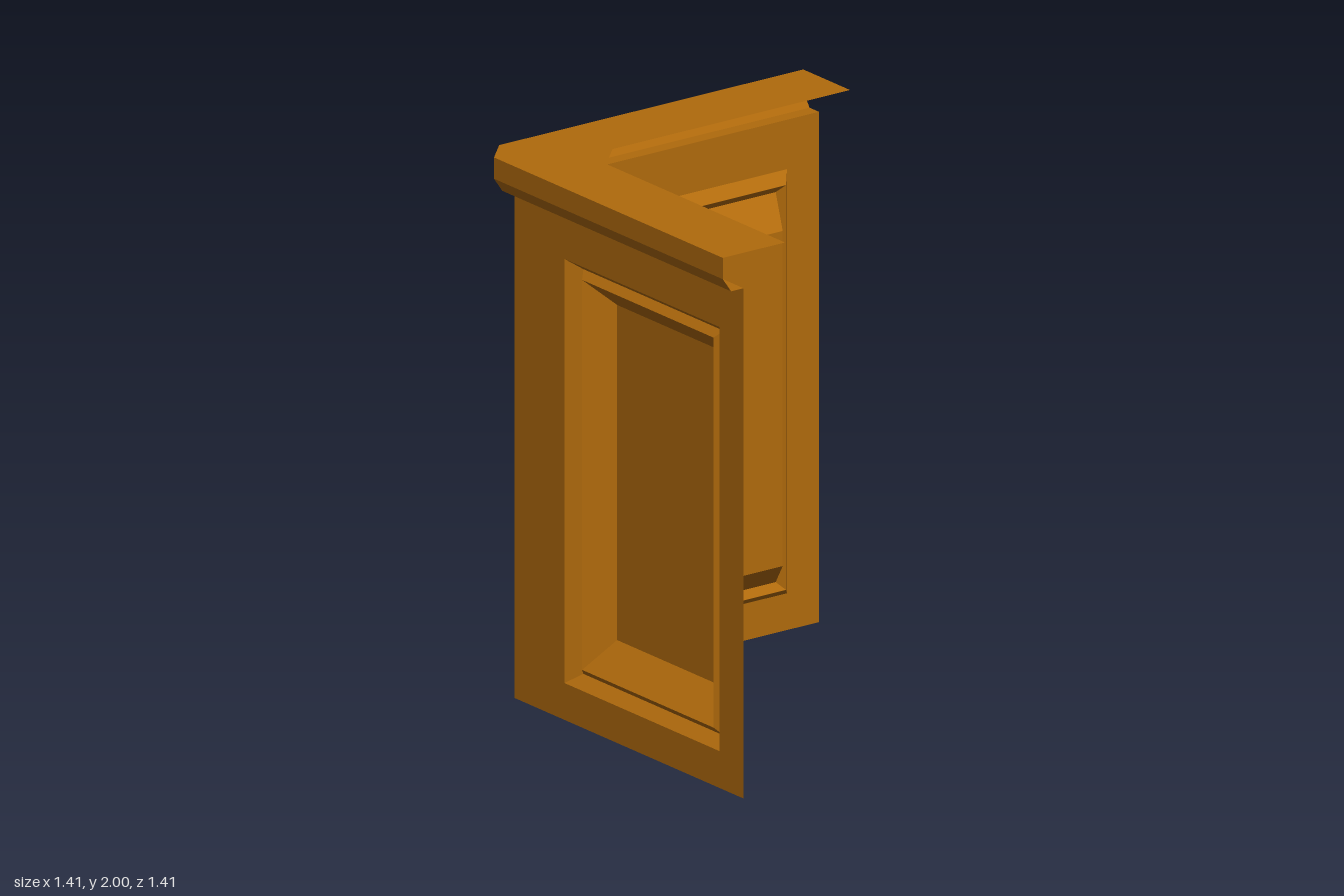
import * as THREE from 'three';

const wood = new THREE.MeshStandardMaterial({ color: 0xb06a0c, flatShading: true, side: THREE.DoubleSide });
const WALL = -0.616; // plane of both walls
const END = 0.702;   // free ends of both walls

// Skins a series of point loops (or open paths); optionally fills the last loop.
function skin(name, rings, closed, fill = false) {
  const pos = [];
  const tri = (...pts) => pts.forEach((p) => pos.push(...p));
  for (let r = 0; r + 1 < rings.length; r++) {
    const a = rings[r], b = rings[r + 1], n = a.length;
    for (let i = 0; i < (closed ? n : n - 1); i++) {
      const j = (i + 1) % n;
      tri(a[i], a[j], b[j]);
      tri(a[i], b[j], b[i]);
    }
  }
  if (fill) {
    const [p, q, r, s] = rings[rings.length - 1];
    tri(p, q, r);
    tri(p, r, s);
  }
  const geo = new THREE.BufferGeometry();
  geo.setAttribute('position', new THREE.Float32BufferAttribute(pos, 3));
  geo.computeVertexNormals();
  const mesh = new THREE.Mesh(geo, wood);
  mesh.name = name;
  return mesh;
}

// One thin wall with a pressed panel; the side wall is the back wall mirrored across the corner diagonal.
function wall(name, mirrored) {
  const rect = (u0, u1, y0, y1, depth) => {
    const pts = [[u0, y0], [u1, y0], [u1, y1], [u0, y1]]
      .map(([u, y]) => (mirrored ? [WALL + depth, y, u] : [u, y, WALL + depth]));
    return mirrored ? pts.reverse() : pts;
  };
  const edge = rect(WALL, END, 0, 1.87, 0);
  const outer = rect(-0.328, 0.564, 0.135, 1.689, 0);
  const crest = rect(-0.286, 0.522, 0.17, 1.653, 0.05);
  const groove = rect(-0.26, 0.496, 0.197, 1.626, 0.025);
  const field = rect(-0.206, 0.443, 0.298, 1.526, 0.136);

  const group = new THREE.Group();
  group.name = name;
  group.add(
    skin('wallFrame', [edge, outer], true),
    skin('panelMoulding', [outer, crest, groove], true),
    skin('raisedPanel', [groove, field], true, true),
  );
  return group;
}

// L-shaped path at height y: offset from the axes, with the corner cut starting at 'cut'.
const path = (offset, cut, y) => [
  [END, y, offset], [cut, y, offset], [offset, y, cut], [offset, y, END],
];

export function createModel() {
  const model = new THREE.Group();
  model.name = 'cornerCounter';
  model.add(wall('backWall', false), wall('sideWall', true));

  // Counter top: an open sheet over a moulded outer edge
  const topOuter = path(-0.706, -0.614, 2);
  const counter = new THREE.Group();
  counter.name = 'counter';
  counter.add(
    skin('edgeMoulding', [
      path(WALL, WALL, 1.87),
      path(-0.67, -0.614, 1.87),
      path(-0.706, -0.614, 1.922),
      topOuter,
    ], false),
    skin('counterTop', [topOuter, path(-0.437, -0.326, 2)], false),
  );
  model.add(counter);
  return model;
}
